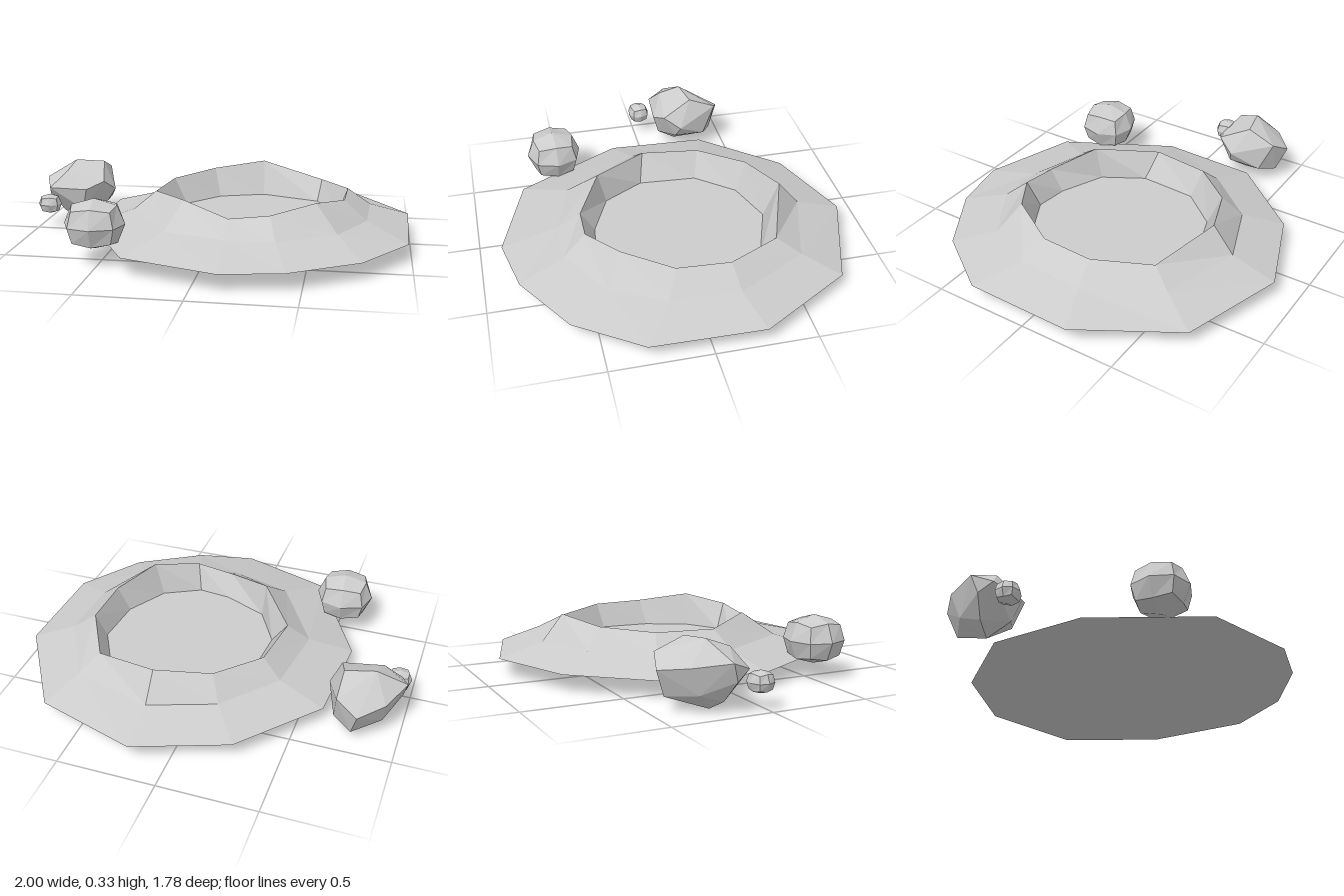
import * as THREE from 'three';
import { ConvexGeometry } from 'three/addons/geometries/ConvexGeometry.js';

const material = new THREE.MeshStandardMaterial({ color: 0xcccccc, flatShading: true });

function addMesh(group, name, geometry) {
  const mesh = new THREE.Mesh(geometry, material);
  mesh.name = name;
  group.add(mesh);
  return mesh;
}

// Crater cross-sections as [x, z] loops, clockwise seen from above
const OUTER = [[.18, -.89], [.7, -.72], [.995, -.25], [.98, .31], [.76, .63], [.43, .83],
  [.13, .89], [-.35, .73], [-.65, .18], [-.62, -.33], [-.28, -.72]];
const SLOPE = [[.18, -.66], [.59, -.54], [.79, -.18], [.775, .165], [.64, .43], [.36, .6],
  [.12, .6], [-.19, .51], [-.43, .11], [-.38, -.27], [-.15, -.54]];
const CREST = [[.18, -.55], [.52, -.43], [.67, -.16], [.66, .11], [.53, .35], [.32, .485],
  [.12, .48], [-.12, .35], [-.32, .07], [-.28, -.23], [-.09, -.45]];
const FLOOR = [[.19, -.47], [.5, -.36], [.62, -.14], [.6, .12], [.48, .33], [.29, .43],
  [.12, .41], [-.11, .31], [-.23, .1], [-.21, -.2], [-.05, -.39]];

const OUTER_Y = [.09, .08, .095, .09, .09, .09, .09, .09, .085, .09, .09];
const CREST_Y = [.295, .225, .245, .25, .29, .255, .23, .28, .25, .25, .265];

// Rings joined from the outer edge up over the crest and down to the floor
function craterGeometry() {
  const lift = (ring, y) => ring.map(([x, z], i) => [x, Array.isArray(y) ? y[i] : y, z]);
  const rings = [lift(OUTER, OUTER_Y), lift(SLOPE, .16), lift(CREST, CREST_Y), lift(FLOOR, .115)];
  const n = OUTER.length;
  const positions = rings.flat(2);
  const floorCentre = positions.length / 3;
  positions.push(.18, .115, 0, .18, .088, 0);
  const index = [];
  for (let i = 0; i < n; i++) {
    const j = (i + 1) % n;
    for (let r = 0; r < 3; r++) {
      const a = r * n + i, b = r * n + j, c = a + n, d = b + n;
      index.push(a, c, d, a, d, b);
    }
    index.push(3 * n + i, floorCentre, 3 * n + j); // crater floor
    index.push(i, j, floorCentre + 1);             // underside
  }
  const geometry = new THREE.BufferGeometry();
  geometry.setAttribute('position', new THREE.Float32BufferAttribute(positions, 3));
  geometry.setIndex(index);
  geometry.computeVertexNormals();
  return geometry;
}

// Rounded stone: a 2 x 2 x 2 cube partly pulled onto a sphere
function stoneGeometry(rx, ry, rz) {
  const geometry = new THREE.BoxGeometry(2, 2, 2, 2, 2, 2);
  const p = geometry.attributes.position;
  const v = new THREE.Vector3();
  for (let i = 0; i < p.count; i++) {
    v.fromBufferAttribute(p, i);
    v.lerp(v.clone().normalize(), .88);
    p.setXYZ(i, v.x * rx, v.y * ry, v.z * rz);
  }
  geometry.computeVertexNormals();
  return geometry;
}

// Corners of the jagged boulder
const BOULDER = [
  [-.85, .33, -.26], [-.7, .32, -.29], [-.7, .26, -.44], [-.81, .2, -.48], [-.925, .22, -.37],
  [-1, .24, -.2], [-.96, .2, -.1], [-.87, .29, -.15], [-.75, .2, -.085], [-.66, .24, -.13],
  [-.62, .18, -.22], [-.66, .115, -.2], [-.82, 0, -.225], [-.91, .05, -.2], [-.98, .15, -.17],
  [-.78, .08, -.12], [-.78, .07, -.43], [-.91, .09, -.32], [-.68, .1, -.37],
];

export function createModel() {
  const group = new THREE.Group();
  group.name = 'craterWithRocks';

  addMesh(group, 'crater', craterGeometry());
  addMesh(group, 'largeRock', new ConvexGeometry(BOULDER.map((p) => new THREE.Vector3(...p))));

  const medium = addMesh(group, 'mediumRock', stoneGeometry(.15, .125, .145));
  medium.position.set(-.522, .195, .535);
  medium.rotation.y = .06;

  const small = addMesh(group, 'smallRock', stoneGeometry(.062, .054, .06));
  small.position.set(-.938, .13, -.03);
  small.rotation.y = .15;

  return group;
}
